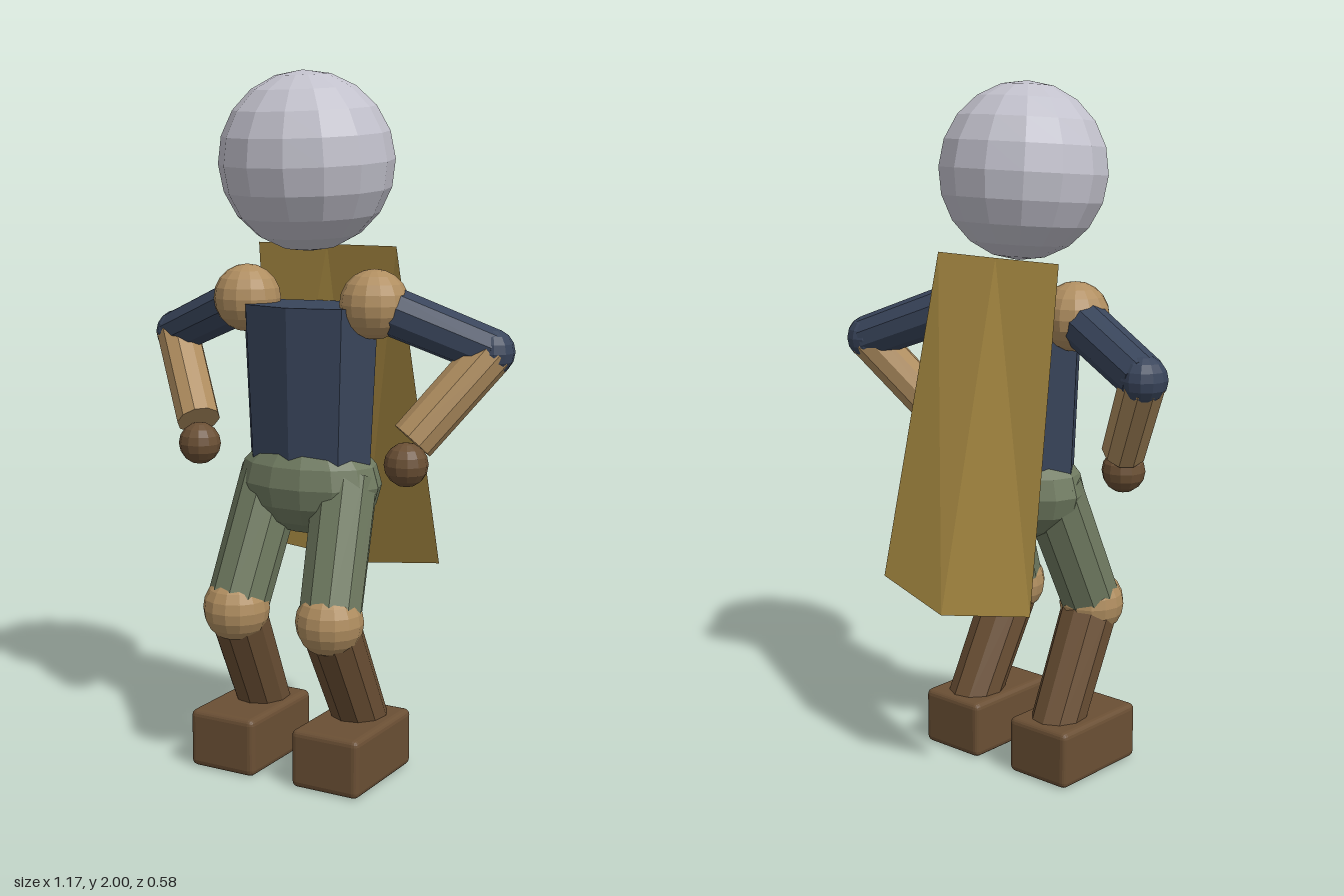
import * as THREE from 'three';
import { RoundedBoxGeometry } from 'three/addons/geometries/RoundedBoxGeometry.js';

const mat = (name, color, extra = {}) =>
  Object.assign(new THREE.MeshStandardMaterial({ color, flatShading: true, ...extra }), { name });

export function createModel() {
  const model = new THREE.Group();
  model.name = 'figure';

  const grey = mat('pale grey', 0xc2c1cc);
  const navy = mat('navy cloth', 0x39455b);
  const tan = mat('tan skin', 0xb08e60);
  const green = mat('olive cloth', 0x6f7a60);
  const brown = mat('brown leather', 0x6a4f34);
  const gold = mat('gold cloth', 0xb39347, { side: THREE.DoubleSide });

  const add = (name, geometry, material, pos = [0, 0, 0]) => {
    const mesh = new THREE.Mesh(geometry, material);
    mesh.name = name;
    mesh.position.set(...pos);
    model.add(mesh);
    return mesh;
  };

  const ball = (name, material, pos, radii, cols = 14, rows = 10) => {
    const mesh = add(name, new THREE.SphereGeometry(1, cols, rows), material, pos);
    mesh.scale.set(...(Array.isArray(radii) ? radii : [radii, radii, radii]));
    return mesh;
  };

  // Cylinder running from point a to point b
  const limb = (name, material, a, b, ra, rb, sides = 10) => {
    const from = new THREE.Vector3(...a), to = new THREE.Vector3(...b);
    const dir = to.clone().sub(from);
    const mesh = add(name, new THREE.CylinderGeometry(rb, ra, dir.length(), sides), material);
    mesh.position.copy(from).add(to).multiplyScalar(0.5);
    mesh.quaternion.setFromUnitVectors(new THREE.Vector3(0, 1, 0), dir.normalize());
    return mesh;
  };

  // Head, tipped slightly forward
  ball('head', grey, [0, 1.75, 0.057], [0.254, 0.25, 0.229]).rotation.x = 0.08;

  // Tapered eight-sided torso and the hips below it
  const torso = add('torso', new THREE.CylinderGeometry(0.22, 0.195, 0.49, 8), navy, [0, 1.105, 0.04]);
  torso.scale.z = 0.6;
  ball('pelvis', green, [0, 0.84, 0.037], [0.222, 0.152, 0.15], 14, 8);

  for (const s of [1, -1]) {
    const side = s > 0 ? 'left' : 'right';

    // Arm with the hand towards the hip
    const shoulder = [s * 0.208, 1.36, 0.04];
    const elbow = [s * 0.52, 1.235, -0.057];
    const wrist = [s * 0.352, 0.995, 0.085];
    ball(side + 'Shoulder', tan, shoulder, 0.098);
    limb(side + 'UpperArm', navy, shoulder, elbow, 0.07, 0.066);
    ball(side + 'Elbow', navy, elbow, 0.066, 12, 8);
    limb(side + 'Forearm', tan, elbow, wrist, 0.065, 0.064);
    ball(side + 'Hand', brown, [s * 0.34, 0.93, 0.098], 0.062, 12, 8);

    // Bent leg
    const hip = [s * 0.12, 0.86, 0.04];
    const knee = [s * 0.154, 0.48, 0.195];
    const ankle = [s * 0.166, 0.12, 0.01];
    limb(side + 'Thigh', green, hip, knee, 0.094, 0.09);
    ball(side + 'Knee', tan, knee, 0.097);
    limb(side + 'Shin', brown, knee, ankle, 0.085, 0.079);
    add(side + 'Boot', new RoundedBoxGeometry(0.214, 0.17, 0.335, 2, 0.018), brown, [s * 0.17, 0.085, 0.092]);
  }

  // Cape: one sheet folded down the middle
  const cape = new THREE.PlaneGeometry(2, 1, 2, 1);
  const corners = [
    [-0.226, 1.515, -0.055], [0, 1.515, -0.06], [0.226, 1.515, -0.055],
    [-0.283, 0.57, -0.237], [0, 0.525, -0.292], [0.283, 0.57, -0.237],
  ];
  corners.forEach((p, i) => cape.attributes.position.setXYZ(i, ...p));
  cape.computeVertexNormals();
  add('cape', cape, gold);

  return model;
}
